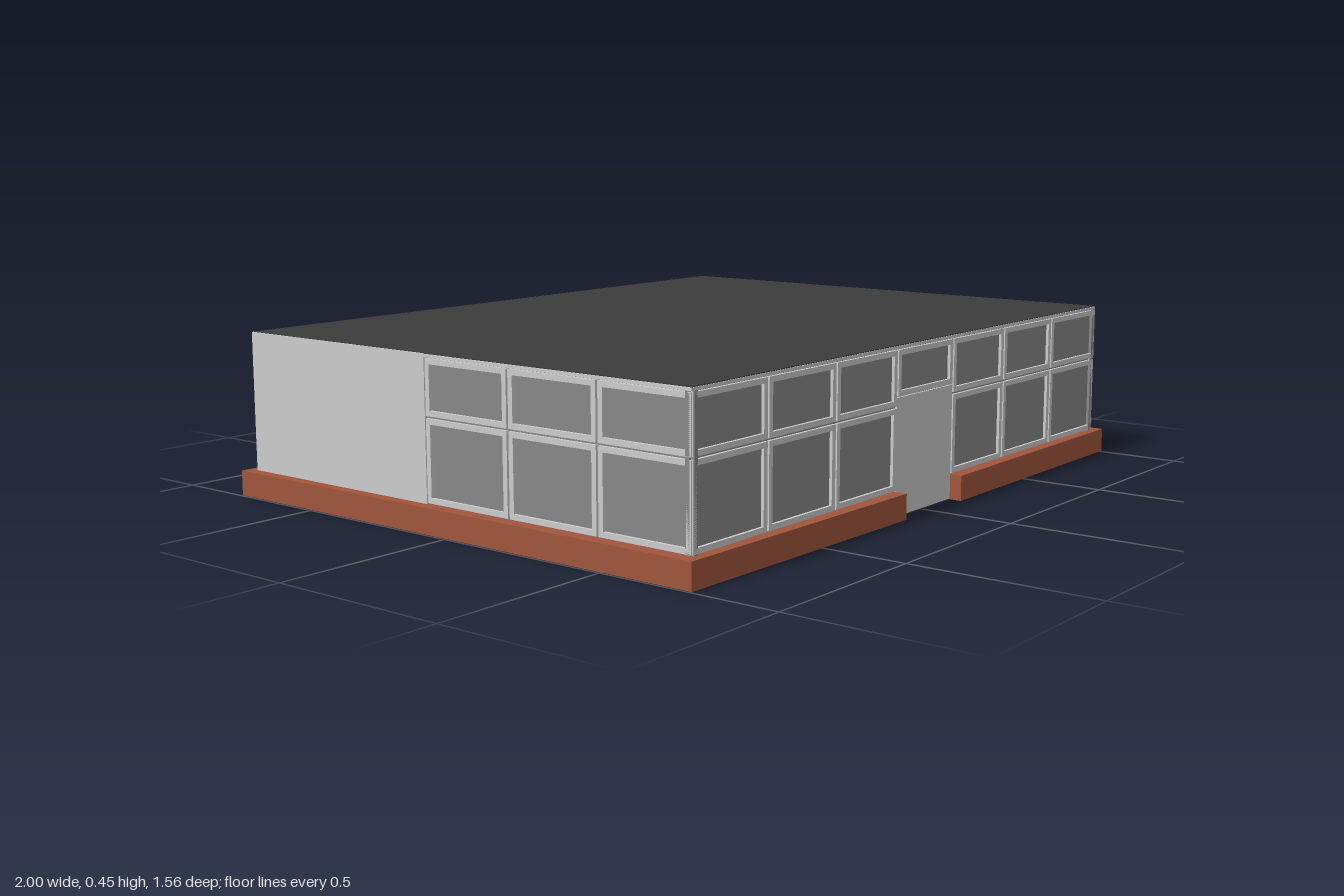
import * as THREE from 'three';

const grey = new THREE.MeshStandardMaterial({ color: 0xcccccc });
const glass = new THREE.MeshStandardMaterial({ color: 0x888888 });
const brick = new THREE.MeshStandardMaterial({ color: 0xa0563d });
const dark = new THREE.MeshStandardMaterial({ color: 0x3c3c3c });

// Box given by its minimum and maximum corners
function box(name, material, [x0, y0, z0], [x1, y1, z1]) {
  const geometry = new THREE.BoxGeometry(x1 - x0, y1 - y0, z1 - z0);
  const mesh = new THREE.Mesh(geometry, material);
  mesh.name = name;
  mesh.position.set((x0 + x1) / 2, (y0 + y1) / 2, (z0 + z1) / 2);
  return mesh;
}

// Framed pane in the xy plane, its front face at z = 0
function windowUnit(u0, u1, y0, y1, bar = 0.014) {
  const unit = new THREE.Group();
  unit.name = 'window';
  const g = 0.003; // shadow gap between neighbouring frames
  const w = u1 - u0 - 2 * g, h = y1 - y0 - 2 * g;
  const rect = (Type, a, b) => new Type([
    new THREE.Vector2(-a, -b), new THREE.Vector2(a, -b),
    new THREE.Vector2(a, b), new THREE.Vector2(-a, b),
  ]);
  const shape = rect(THREE.Shape, w / 2, h / 2);
  shape.holes.push(rect(THREE.Path, w / 2 - bar, h / 2 - bar));
  const frame = new THREE.Mesh(
    new THREE.ExtrudeGeometry(shape, { depth: 0.014, bevelEnabled: false }), grey);
  frame.name = 'windowFrame';
  frame.position.set((u0 + u1) / 2, (y0 + y1) / 2, -0.014);
  unit.add(frame, box('windowPane', glass, [u0, y0, -0.02], [u1, y1, -0.008]));
  return unit;
}

export function createModel() {
  const model = new THREE.Group();
  model.name = 'shopBuilding';
  const X = 0.97, FRONT = 0.745, BACK = -0.75;
  const BASE = 0.07, TOP = 0.445, DOOR = 0.137;
  const rows = [[BASE, 0.288], [0.288, 0.437]];

  // Brick plinth: a ring left open at the doorway, its front swelling slightly
  const outline = [
    [DOOR, 0.777], [1, 0.767], [1, -0.778], [-1, -0.778], [-1, 0.767], [-DOOR, 0.777],
    [-DOOR, 0.735], [-0.95, 0.735], [-0.95, -0.73], [0.95, -0.73], [0.95, 0.735], [DOOR, 0.735],
  ];
  const ring = new THREE.Shape(outline.map(([x, z]) => new THREE.Vector2(x, -z)));
  const plinth = new THREE.Mesh(
    new THREE.ExtrudeGeometry(ring, { depth: BASE - 0.002, bevelEnabled: false }), brick);
  plinth.name = 'brickPlinth';
  plinth.rotation.x = -Math.PI / 2;
  plinth.position.y = 0.002;
  model.add(plinth);

  // Floor, roof and solid walls
  model.add(
    box('floorSlab', dark, [-X, 0, BACK], [X, 0.012, 0.74]),
    box('roof', dark, [-X + 0.004, 0.437, BACK + 0.004], [X - 0.004, TOP + 0.001, 0.741]),
    box('backWall', grey, [-X, 0.02, BACK], [X, TOP, BACK + 0.02]),
  );
  for (const s of [-1, 1]) {
    const xs = [s * X, s * (X - 0.02)].sort((a, b) => a - b);
    model.add(box('sideWall', grey, [xs[0], 0.02, BACK], [xs[1], TOP, -0.09]));
    model.add(box('sideTopRail', grey, [xs[0], 0.436, -0.09], [xs[1], 0.444, 0.742]));
  }
  model.add(box('frontTopRail', grey, [-X, 0.436, 0.72], [X, 0.444, 0.743]));

  // Front glazing, three bays each side of the door
  const front = new THREE.Group();
  front.name = 'frontWindows';
  front.position.z = FRONT;
  const bays = [DOOR, 0.412, 0.69, X];
  for (let i = 0; i < 3; i++) {
    for (const [y0, y1] of rows) {
      front.add(windowUnit(bays[i], bays[i + 1], y0, y1));
      front.add(windowUnit(-bays[i + 1], -bays[i], y0, y1));
    }
  }
  // Transom above the door
  front.add(windowUnit(-DOOR, DOOR, 0.312, 0.437));
  model.add(front);

  // Entrance door
  model.add(box('door', grey, [-DOOR, 0.004, 0.725], [DOOR, 0.312, 0.743]));

  // Side glazing, three bays towards the front on each side
  for (const s of [-1, 1]) {
    const side = new THREE.Group();
    side.name = s > 0 ? 'leftWindows' : 'rightWindows';
    side.rotation.y = s * Math.PI / 2;
    side.position.x = s * X;
    const edges = [-0.09, 0.19, 0.47, FRONT];
    for (let i = 0; i < 3; i++) {
      // Turned about y, the group's x runs along -z or +z
      const [u0, u1] = [-s * edges[i], -s * edges[i + 1]].sort((a, b) => a - b);
      for (const [y0, y1] of rows) side.add(windowUnit(u0, u1, y0, y1));
    }
    model.add(side);
  }
  return model;
}
